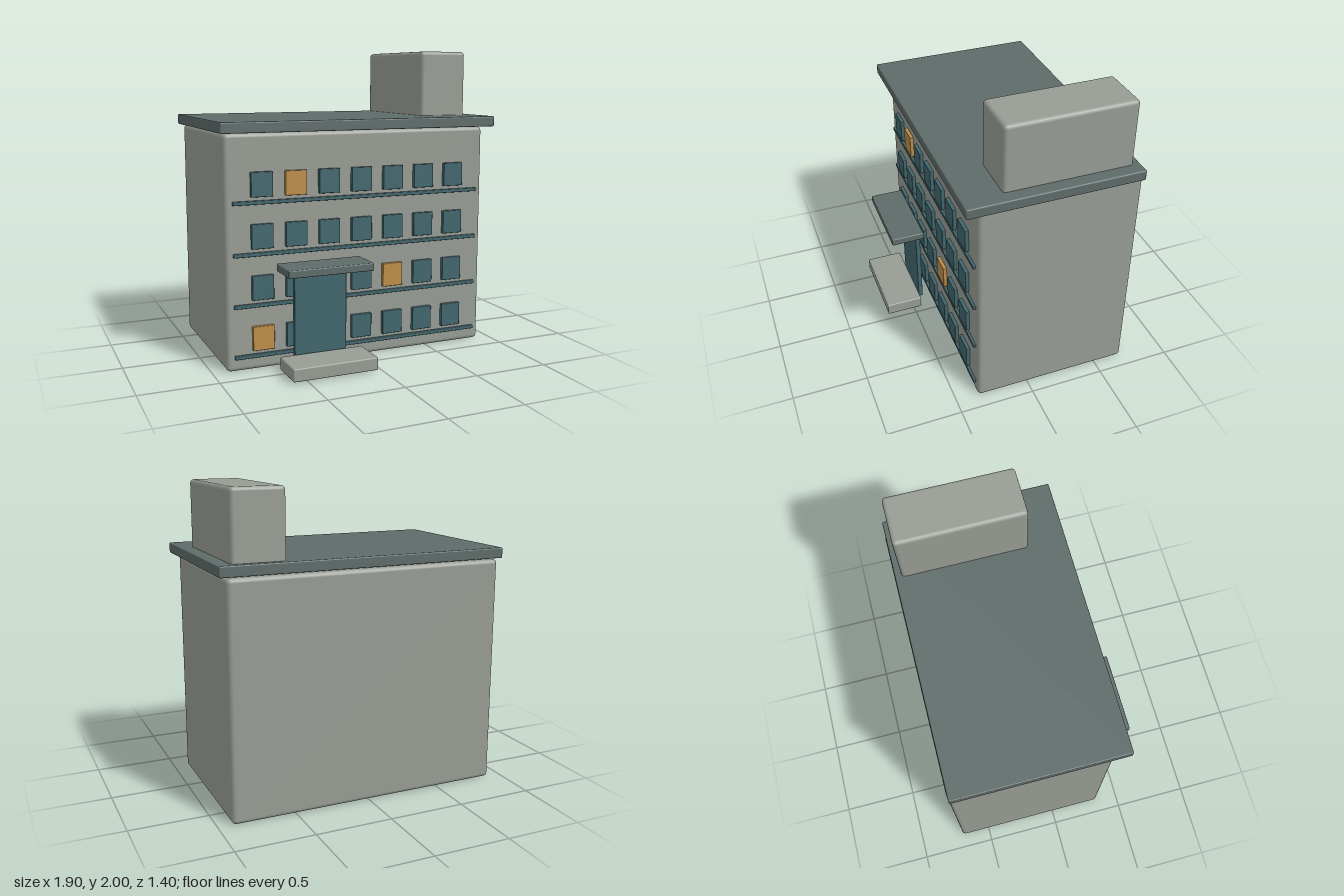
import * as THREE from 'three';
import { RoundedBoxGeometry } from 'three/addons/geometries/RoundedBoxGeometry.js';

const mat = (name, color) => {
  const m = new THREE.MeshStandardMaterial({ color });
  m.name = name;
  return m;
};

export function createModel() {
  const building = new THREE.Group();
  building.name = 'apartmentBuilding';

  const concrete = mat('concrete grey', 0x979c94);
  const slate = mat('slate roof', 0x5e6b69);
  const glass = mat('teal glass', 0x41676e);
  const lit = mat('lit amber', 0xbd8c48);

  // Bevelled block given by its extents [min, max] on each axis
  function block(name, material, [x0, x1], [y0, y1], [z0, z1], bevel, parent = building) {
    const geo = new RoundedBoxGeometry(x1 - x0, y1 - y0, z1 - z0, 2, bevel);
    const mesh = new THREE.Mesh(geo, material);
    mesh.position.set((x0 + x1) / 2, (y0 + y1) / 2, (z0 + z1) / 2);
    mesh.name = name;
    parent.add(mesh);
    return mesh;
  }

  // Main volume, overhanging roof slab and rooftop stair block
  block('body', concrete, [-0.91, 0.91], [0, 1.495], [-0.7, 0.35], 0.028);
  block('roofSlab', slate, [-0.95, 0.95], [1.5, 1.568], [-0.693, 0.437], 0.008);
  block('rooftopBlock', concrete, [0.527, 0.865], [1.495, 2], [-0.65, 0.185], 0.025);

  // Four floors, each with a ledge and seven windows
  const litWindows = ['0-0', '1-4', '3-1'];
  for (let floor = 0; floor < 4; floor++) {
    const storey = new THREE.Group();
    storey.name = `floor${floor + 1}`;
    building.add(storey);
    const y = 0.205 + floor * 0.325;
    block('ledge', glass, [-0.862, 0.862], [y - 0.125, y - 0.101], [0.34, 0.368], 0.004, storey);
    for (let i = 0; i < 7; i++) {
      const x = (i - 3) * 0.225;
      const isLit = litWindows.includes(`${floor}-${i}`);
      block(isLit ? 'litWindow' : 'window', isLit ? lit : glass,
        [x - 0.071, x + 0.071], [y - 0.078, y + 0.078], [0.34, 0.374], 0.004, storey);
    }
  }

  // Entrance: door panel, canopy and step
  const entrance = new THREE.Group();
  entrance.name = 'entrance';
  building.add(entrance);
  block('door', glass, [-0.493, -0.138], [0.018, 0.64], [0.405, 0.437], 0.004, entrance);
  block('canopy', slate, [-0.598, -0.033], [0.635, 0.685], [0.405, 0.632], 0.007, entrance);
  block('step', concrete, [-0.598, -0.033], [0.012, 0.095], [0.448, 0.7], 0.008, entrance);

  return building;
}
